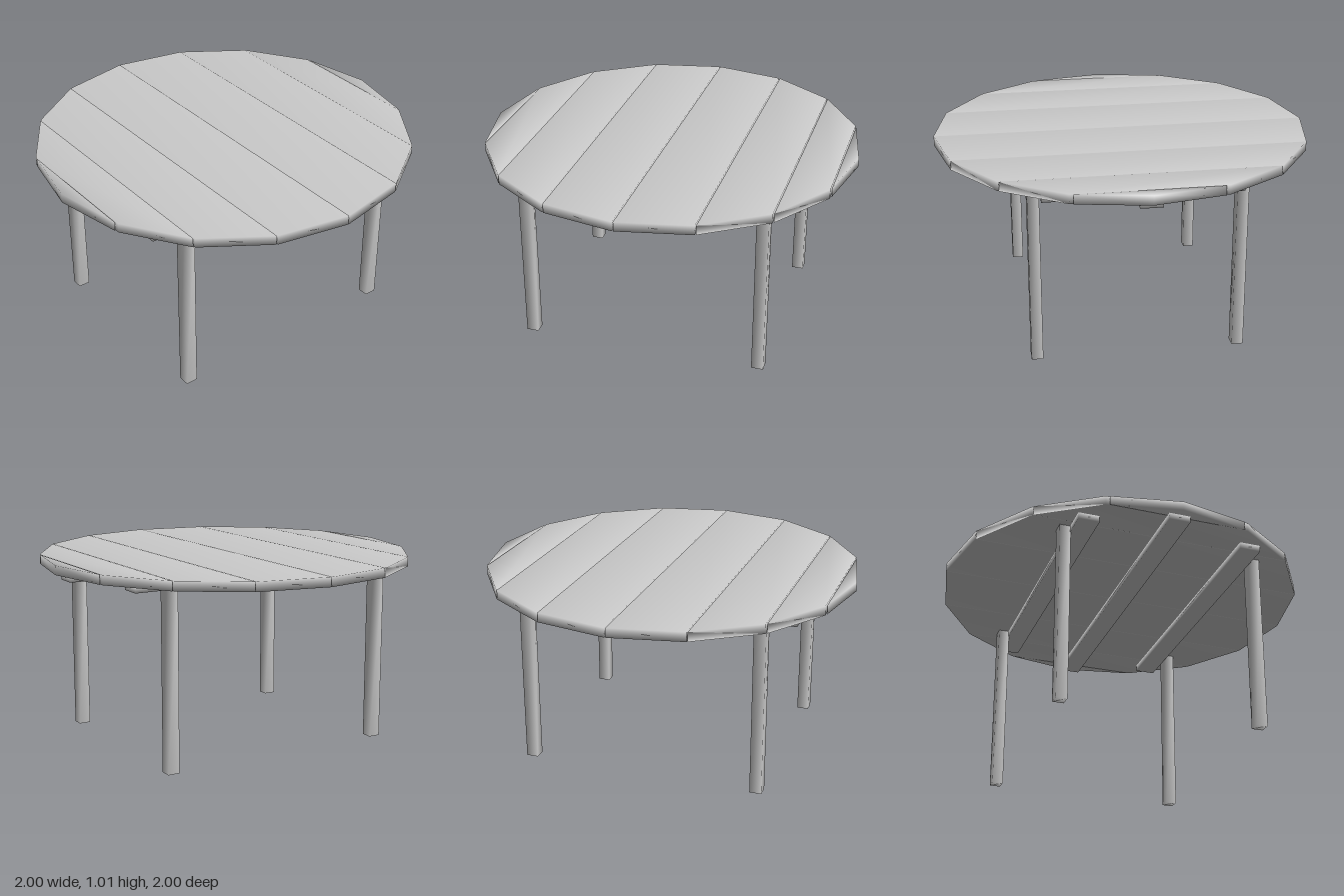
import * as THREE from 'three';
import { mergeVertices } from 'three/addons/utils/BufferGeometryUtils.js';

const material = new THREE.MeshStandardMaterial({ color: 0xcccccc });

// Weld the corners so that shading runs smoothly round each timber
function soften(geometry) {
  geometry.deleteAttribute('normal');
  geometry.deleteAttribute('uv');
  const welded = mergeVertices(geometry, 1e-4);
  welded.computeVertexNormals();
  return welded;
}

function addMesh(parent, name, geometry) {
  const mesh = new THREE.Mesh(soften(geometry), material);
  mesh.name = name;
  parent.add(mesh);
  return mesh;
}

function addBox(parent, name, size, position) {
  addMesh(parent, name, new THREE.BoxGeometry(...size)).position.set(...position);
}

export function createModel() {
  const table = new THREE.Group();
  table.name = 'roundTable';

  const topY = 1.015, underside = 0.965, gap = 0.003;

  // Sixteen-sided top, sawn into planks at each pair of opposite corners
  const top = new THREE.Group();
  top.name = 'tableTop';
  table.add(top);
  const corner = (k) => [Math.sin(k * Math.PI / 8), -Math.cos(k * Math.PI / 8)];
  for (let k = 0; k < 8; k++) {
    const [x0, z0] = corner(k), [x1, z1] = corner(k + 1);
    const slope = (x1 - x0) / (z1 - z0);
    // Trim both long edges to leave a narrow seam
    const back = k === 0 ? z0 : z0 + gap;
    const front = k === 7 ? z1 : z1 - gap;
    const halfWidth = (z) => Math.max(0, x0 + slope * (z - z0));
    const a = halfWidth(back), b = halfWidth(front);
    const outline = [];
    if (k === 0) outline.push([0, back]);
    else outline.push([a, back], [-a, back]);
    if (k === 7) outline.push([0, front]);
    else outline.push([-b, front], [b, front]);
    const shape = new THREE.Shape(outline.map(([x, z]) => new THREE.Vector2(x, -z)));
    const plank = new THREE.ExtrudeGeometry(shape, { depth: topY - underside, bevelEnabled: false });
    plank.rotateX(-Math.PI / 2);
    plank.translate(0, underside, 0);
    addMesh(top, 'plank', plank);
  }

  // Battens running front to back under the planks
  const battens = [[-0.438, 0.803], [-0.003, 0.949], [0.452, 0.803]];
  for (const [x, half] of battens) {
    addBox(table, 'batten', [0.113, 0.035, 2 * half], [x, 0.9475, 0.004]);
  }

  // Four square legs
  for (const x of [-0.521, 0.537]) {
    for (const z of [-0.628, 0.636]) {
      addBox(table, 'leg', [0.06, underside, 0.064], [x, underside / 2, z]);
    }
  }
  return table;
}
